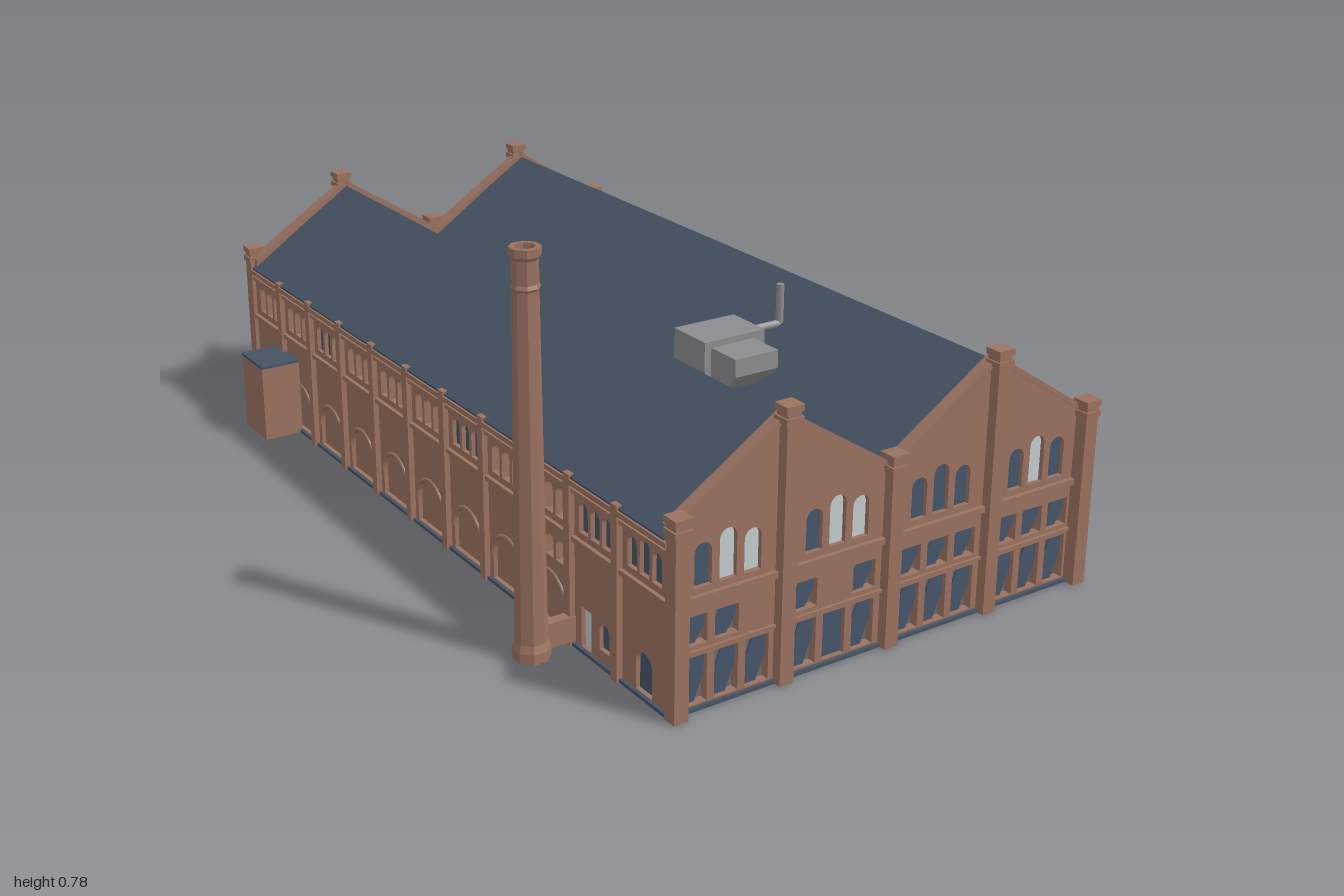
import * as THREE from 'three';

const mat = (name, color, side = THREE.FrontSide) => {
  const m = new THREE.MeshStandardMaterial({ color, side });
  m.name = name;
  return m;
};

export function createModel() {
  const brick = mat('brick', 0x9b7260);
  const slate = mat('slate', 0x465465, THREE.DoubleSide);
  const glass = mat('darkGlass', 0x45566a, THREE.DoubleSide);
  const pale = mat('paleGlass', 0xc3cccf, THREE.DoubleSide);
  const metal = mat('greyMetal', 0x8c8c8e);
  const soot = mat('soot', 0x2e2a2a);

  const HW = 0.475, HL = 0.86, T = 0.018, R = 0.24, EAVE = 0.335, RIDGE = 0.5;
  const model = new THREE.Group();
  model.name = 'factory';
  const hall = new THREE.Group();
  hall.name = 'hall';
  hall.rotation.y = 0.3255;
  hall.position.x = 0.008;
  model.add(hall);

  const add = (parent, name, geo, m, x = 0, y = 0, z = 0) => {
    const mesh = new THREE.Mesh(geo, m);
    mesh.name = name;
    mesh.position.set(x, y, z);
    parent.add(mesh);
    return mesh;
  };
  // box standing on height y
  const box = (parent, name, w, h, d, x, y, z, m = brick) =>
    add(parent, name, new THREE.BoxGeometry(w, h, d), m, x, y + h / 2, z);

  // window outline, centred on x, with a round or straight head
  const outline = (x, y, w, h, arched, C = THREE.Shape) => {
    const s = new C(), r = w / 2;
    s.moveTo(x - r, y);
    s.lineTo(x + r, y);
    if (arched) {
      s.lineTo(x + r, y + h - r);
      s.absarc(x, y + h - r, r, 0, Math.PI, false);
    } else {
      s.lineTo(x + r, y + h);
      s.lineTo(x - r, y + h);
    }
    s.closePath();
    return s;
  };
  // pane with two opposite corners broken away
  const brokenPane = (x, y, w, h) => new THREE.Shape(
    [[0, 0], [0.6, 0], [1, 0.55], [1, 1], [0.45, 1], [0, 0.4]]
      .map(([a, b]) => new THREE.Vector2(x + (a - 0.5) * w, y + b * h)));

  // wall with openings; fill: material, 'broken', or null for an open hole
  const wall = (name, points, windows, angle, dist) => {
    const g = new THREE.Group();
    g.name = name;
    g.rotation.y = angle;
    g.position.set(Math.sin(angle) * dist, 0, Math.cos(angle) * dist);
    hall.add(g);
    const s = new THREE.Shape(points.map(p => new THREE.Vector2(...p)));
    s.holes = windows.map(o => outline(o.x, o.y, o.w, o.h, o.arched, THREE.Path));
    add(g, name + 'Brickwork',
      new THREE.ExtrudeGeometry(s, { depth: T, bevelEnabled: false, curveSegments: 5 }), brick, 0, 0, -T);
    for (const o of windows) {
      if (!o.fill) continue;
      const broken = o.fill === 'broken';
      const shape = broken ? brokenPane(o.x, o.y, o.w, o.h) : outline(o.x, o.y, o.w, o.h, o.arched);
      add(g, 'windowPane', new THREE.ExtrudeGeometry(shape, { depth: 0.003, bevelEnabled: false, curveSegments: 5 }),
        broken ? glass : o.fill, 0, 0, -0.012);
    }
    return g;
  };
  const triple = (x, y, w, h, gap, fills, rise = 0) => [-1, 0, 1].map(k =>
    ({ x: x + k * gap, y, w, h: h + (k ? 0 : rise), arched: true, fill: fills[k + 1] }));

  // gable ends
  const gable = [[-HW, 0], [HW, 0], [HW, 0.355], [R, 0.508], [0, 0.355], [-R, 0.508], [-HW, 0.355]];
  const bays = [-0.357, -0.12, 0.12, 0.357];
  const frontWindows = [], backWindows = [];
  const upperFills = [[glass, pale, pale], [glass, pale, pale], [glass, glass, glass], [glass, pale, glass]];
  bays.forEach((x, b) => {
    frontWindows.push(...triple(x, 0.232, 0.036, 0.082, 0.052, upperFills[b], 0.014));
    backWindows.push(...triple(x, 0.232, 0.036, 0.082, 0.052, [brick, pale, brick], 0.014));
    for (const k of [-1, 0, 1]) {
      const wx = x + k * 0.066, door = b === 1 && k === 0;
      frontWindows.push({ x: wx, y: 0.01, w: 0.05, h: 0.092, fill: door ? glass : 'broken' });
      if (!door && !(b === 0 && k === 1))
        frontWindows.push({ x: wx, y: 0.124, w: 0.05, h: 0.056, fill: 'broken' });
      backWindows.push({ x: wx, y: 0.015, w: 0.04, h: 0.085, fill: brick });
      backWindows.push({ x: wx, y: 0.124, w: 0.04, h: 0.06, fill: brick });
    }
  });
  const ends = [wall('frontWall', gable, frontWindows, 0, HL), wall('backWall', gable, backWindows, Math.PI, HL)];
  for (const g of ends) {
    box(g, 'stringCourse', 2 * HW, 0.012, 0.012, 0, 0.208, 0.003);
    box(g, 'lowerBand', 2 * HW, 0.006, 0.008, 0, 0.11, 0.002);
    box(g, 'baseStrip', 2 * HW, 0.007, 0.008, 0, 0, 0.003, slate);
    // sloping copings
    for (const x of [-0.3575, -0.12, 0.12, 0.3575]) {
      const up = (x < -R || (x > 0 && x < R)) ? 1 : -1;
      const c = add(g, 'coping', new THREE.BoxGeometry(0.28, 0.01, T + 0.008), brick, x, 0.431, -T / 2);
      c.rotation.z = up * Math.atan2(0.153, 0.2375);
    }
    // piers with stepped caps, tall at the ridges
    for (let i = -2; i <= 2; i++) {
      const top = i % 2 ? 0.53 : 0.383, corner = Math.abs(i) === 2;
      const x = corner ? i * 0.2345 : i * R, z = corner ? 0.012 : 0.006;
      box(g, 'pier', 0.03, top - 0.01, 0.03, x, 0, z);
      box(g, 'pierCollar', 0.037, 0.012, 0.036, x, top - 0.034, z);
      box(g, 'pierCap', 0.037, 0.012, 0.036, x, top - 0.012, z);
    }
  }

  // long walls, eleven bays
  const BAY = 2 * HL / 11, leftWindows = [], arches = [];
  const dark = [glass, glass, glass], open = [null, null, null];
  for (let k = 0; k < 11; k++) {
    const x = HL - (k + 0.5) * BAY;
    leftWindows.push(...triple(x, 0.235, 0.029, 0.06, 0.038, [0, 1, 4, 8].includes(k) ? dark : open, k ? 0 : 0.01));
    if (k === 1) {
      leftWindows.push({ x: x - 0.03, y: 0.008, w: 0.034, h: 0.08, fill: pale });
      leftWindows.push({ x: x + 0.03, y: 0.03, w: 0.034, h: 0.055, arched: true, fill: glass });
    } else if (k === 0) {
      leftWindows.push({ x, y: 0.008, w: 0.05, h: 0.08, arched: true, fill: glass });
    } else {
      leftWindows.push({ x, y: 0.008, w: 0.11, h: 0.105, arched: true, fill: brick });
      arches.push(x);
    }
    if (k === 2) leftWindows.push(...triple(x, 0.145, 0.029, 0.045, 0.038, open));
  }
  const side = [[-HL, 0], [HL, 0], [HL, EAVE], [-HL, EAVE]];
  const left = wall('leftWall', side, leftWindows, -Math.PI / 2, HW);
  const right = wall('rightWall', side, [], Math.PI / 2, HW);
  for (const x of arches)
    add(left, 'archRim', new THREE.TorusGeometry(0.057, 0.004, 4, 12, Math.PI), brick, x, 0.058, 0);
  box(left, 'stringCourse', 2 * HL, 0.01, 0.01, 0, 0.212, 0.003);
  box(left, 'windowHeadBand', 2 * HL, 0.008, 0.01, 0, 0.308, 0.003);
  for (const g of [left, right]) {
    box(g, 'eavesCornice', 2 * HL, 0.01, 0.016, 0, EAVE - 0.012, 0.004);
    box(g, 'baseStrip', 2 * HL, 0.007, 0.008, 0, 0, 0.003, slate);
    for (let i = 1; i < 11; i++) box(g, 'sidePier', 0.02, 0.342, 0.016, -HL + i * BAY, 0, 0.004);
  }

  // double pitched roof, open underneath
  const prof = [[-HW - 0.008, EAVE], [-R, RIDGE], [0, EAVE + 0.004], [R, RIDGE], [HW + 0.008, EAVE]];
  const roofShape = new THREE.Shape([...prof, ...prof.map(([x, y]) => [x, y - 0.008]).reverse()]
    .map(p => new THREE.Vector2(...p)));
  add(hall, 'roof', new THREE.ExtrudeGeometry(roofShape, { depth: 2 * HL - 0.02, bevelEnabled: false }),
    slate, 0, 0.002, -HL + 0.01);

  // rooftop ventilation unit in the valley
  const unit = new THREE.Group();
  unit.name = 'ventilationUnit';
  hall.add(unit);
  box(unit, 'unitBody', 0.145, 0.085, 0.104, 0.013, 0.36, 0.318, metal);
  const hood = new THREE.Shape([[0, 0.36], [0.05, 0.36], [0.08, 0.395], [0.08, 0.432], [0, 0.432]]
    .map(p => new THREE.Vector2(...p)));
  const hoodMesh = add(unit, 'unitHood', new THREE.ExtrudeGeometry(hood, { depth: 0.102, bevelEnabled: false }),
    metal, -0.044, 0, 0.37);
  hoodMesh.rotation.y = -Math.PI / 2;
  hoodMesh.position.x = 0.058;
  const duct = add(unit, 'exhaustDuct', new THREE.CylinderGeometry(0.008, 0.008, 0.08, 8), metal, 0.12, 0.437, 0.34);
  duct.rotation.z = Math.PI / 2;
  add(unit, 'exhaustStack', new THREE.CylinderGeometry(0.008, 0.008, 0.09, 8), metal, 0.145, 0.475, 0.34);

  // lean-to shed
  box(hall, 'shed', 0.09, 0.172, 0.11, -0.521, 0, -0.685);
  box(hall, 'shedRoof', 0.092, 0.006, 0.113, -0.521, 0.172, -0.685, slate);

  // octagonal chimney with crown and flue
  const chimney = new THREE.Group();
  chimney.name = 'chimney';
  chimney.position.set(-0.35, 0, 0.7);
  chimney.rotation.y = 0.3255;
  model.add(chimney);
  const shaft = [[0, 0], [0.036, 0], [0.036, 0.02], [0.031, 0.035], [0.024, 0.7], [0.027, 0.705], [0.024, 0.712],
    [0.024, 0.755], [0.029, 0.762], [0.029, 0.777], [0.019, 0.777], [0.019, 0.755]];
  const shaftGeo = new THREE.LatheGeometry(shaft.map(p => new THREE.Vector2(...p)), 8, Math.PI / 8).toNonIndexed();
  shaftGeo.computeVertexNormals();
  add(chimney, 'chimneyShaft', shaftGeo, brick);
  add(chimney, 'chimneyMouth', new THREE.CylinderGeometry(0.02, 0.02, 0.004, 8), soot, 0, 0.758, 0);
  box(chimney, 'flue', 0.08, 0.05, 0.022, 0.05, 0.01, 0);

  return model;
}
